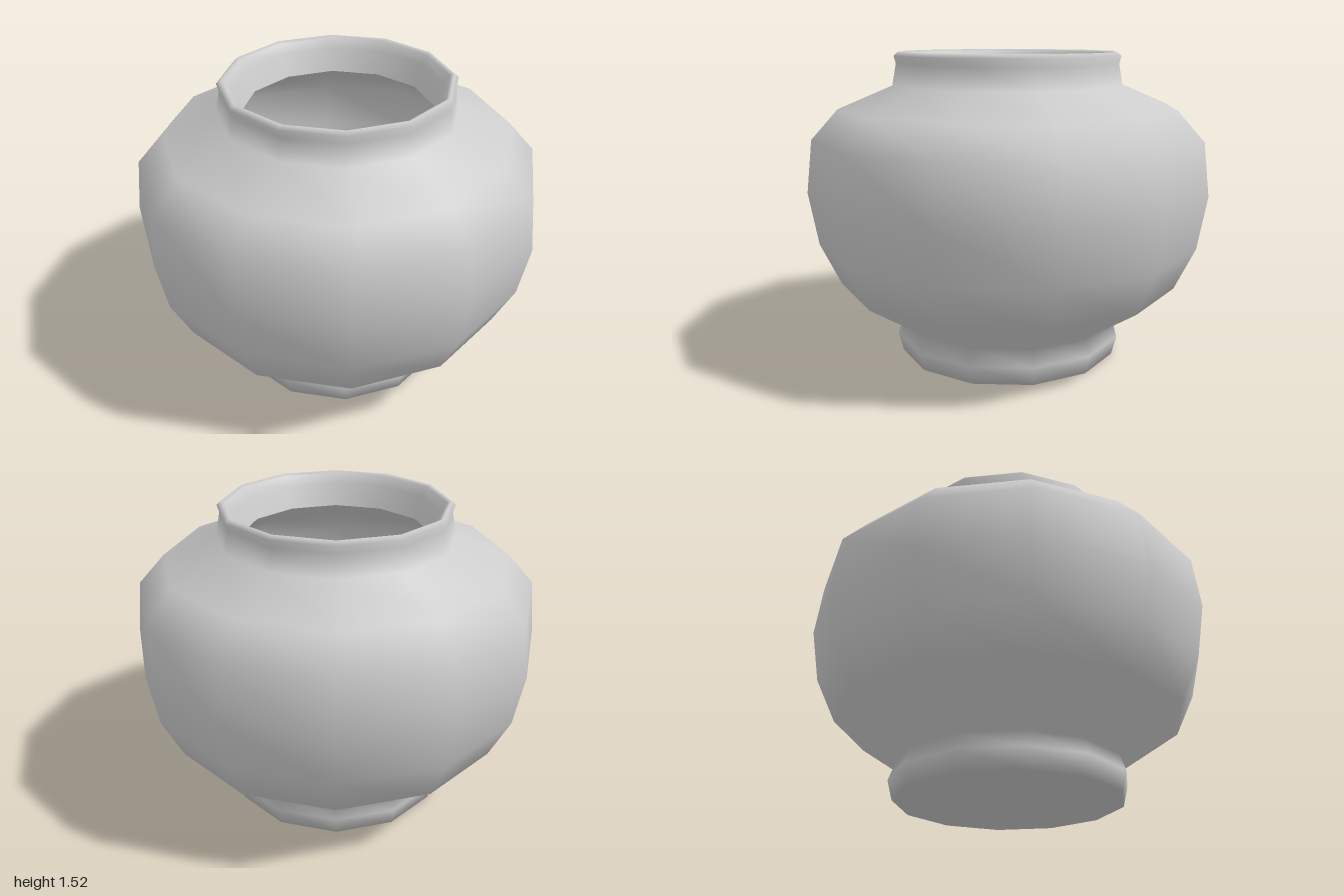
import * as THREE from 'three';

const SIDES = 12;

// Twelve-sided smooth turned surface from [radius, height] points
function turned(name, profile, material) {
  const points = profile.map(([r, y]) => new THREE.Vector2(r, y));
  const mesh = new THREE.Mesh(new THREE.LatheGeometry(points, SIDES), material);
  mesh.name = name;
  return mesh;
}

export function createModel() {
  const group = new THREE.Group();
  group.name = 'pot';
  const clay = new THREE.MeshStandardMaterial({ color: 0xcccccc, side: THREE.DoubleSide });

  // Base, foot, belly, shoulder, neck and rolled rim
  group.add(turned('outerShell', [
    [0, 0], [0.555, 0], [0.58, 0.095], [0.55, 0.175],
    [0.855, 0.38], [0.955, 0.59], [1, 0.85], [0.97, 1.11], [0.84, 1.255],
    [0.575, 1.365], [0.555, 1.47], [0.565, 1.507], [0.545, 1.525],
    [0.525, 1.515], [0.5, 1.47], [0.46, 1.36],
  ], clay));

  // Hollow inside, from the neck down to the bowl-shaped floor
  group.add(turned('innerWall', [
    [0.46, 1.36], [0.77, 1.2], [0.89, 1.08], [0.92, 0.85],
    [0.88, 0.62], [0.79, 0.43], [0.48, 0.23], [0, 0.18],
  ], clay));

  return group;
}
